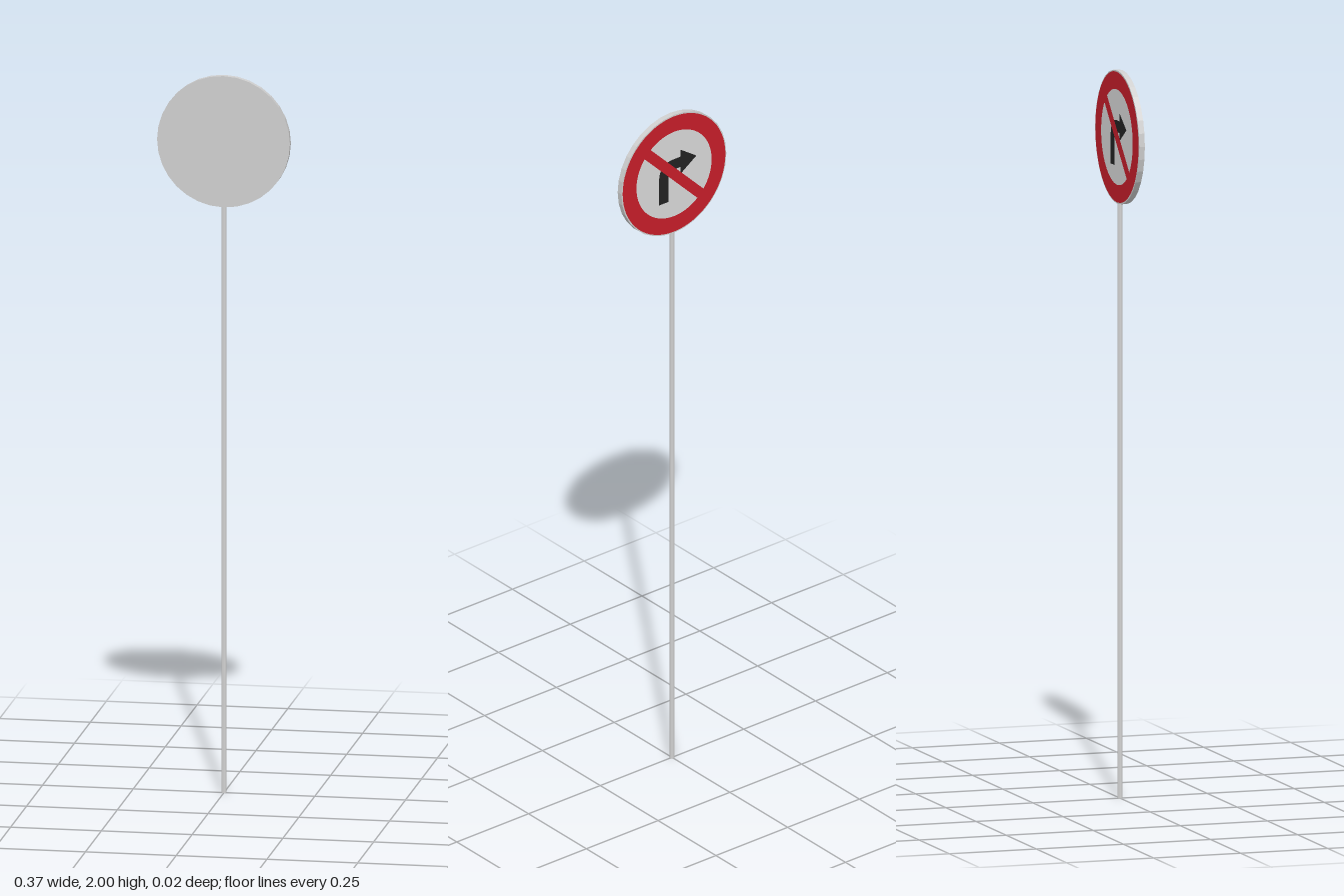
import * as THREE from 'three';

const material = (name, color, flatShading = false) => {
  const m = new THREE.MeshStandardMaterial({ color });
  m.name = name;
  m.flatShading = flatShading;
  return m;
};

export function createModel() {
  const metal = material('grey metal', 0xcfcfcf, true);
  const white = material('white paint', 0xdadada);
  const red = material('red paint', 0xc81e2a);
  const black = material('black paint', 0x222222);

  const R = 0.183, SIDES = 32, CENTRE = 1.817, HALF = 0.008;
  const model = new THREE.Group();
  model.name = 'roadSign';

  const add = (parent, name, geometry, mat) => {
    const mesh = new THREE.Mesh(geometry, mat);
    mesh.name = name;
    parent.add(mesh);
    return mesh;
  };

  // Post, ending just inside the bottom of the disc
  const postHeight = CENTRE - R + 0.006;
  add(model, 'post', new THREE.CylinderGeometry(0.0075, 0.0075, postHeight, 12), metal)
    .position.y = postHeight / 2;

  // Disc lying in the xy plane
  const disc = new THREE.CylinderGeometry(R, R, HALF * 2, SIDES);
  disc.rotateX(Math.PI / 2);
  add(model, 'disc', disc, metal).position.y = CENTRE;

  // Painted face on the -z side, drawn in its own x-right, y-up frame
  const face = new THREE.Group();
  face.name = 'signFace';
  face.position.y = CENTRE;
  face.rotation.y = Math.PI;
  model.add(face);
  const layer = (n) => HALF + 0.0004 * n;

  add(face, 'whiteField', new THREE.CircleGeometry(0.14, 48), white).position.z = layer(1);
  add(face, 'redBorder', new THREE.RingGeometry(0.131, 0.179, 64), red).position.z = layer(2);

  // Arrow: stem rising, bending right into a triangular head
  const arrow = new THREE.Shape();
  arrow.moveTo(-0.052, -0.08);
  arrow.lineTo(-0.02, -0.08);
  arrow.lineTo(-0.02, -0.005);
  arrow.quadraticCurveTo(-0.018, 0.014, 0.0, 0.014);
  arrow.lineTo(0.022, 0.014);
  arrow.lineTo(0.022, -0.008);
  arrow.lineTo(0.078, 0.03);
  arrow.lineTo(0.022, 0.068);
  arrow.lineTo(0.022, 0.046);
  arrow.lineTo(-0.005, 0.046);
  arrow.quadraticCurveTo(-0.05, 0.044, -0.052, 0.0);
  arrow.closePath();
  add(face, 'turnArrow', new THREE.ShapeGeometry(arrow, 8), black).position.z = layer(2);

  // Diagonal bar from upper left to lower right
  const bar = add(face, 'diagonalBar', new THREE.PlaneGeometry(0.28, 0.03), red);
  bar.rotation.z = -Math.PI / 4;
  bar.position.z = layer(3);

  return model;
}
